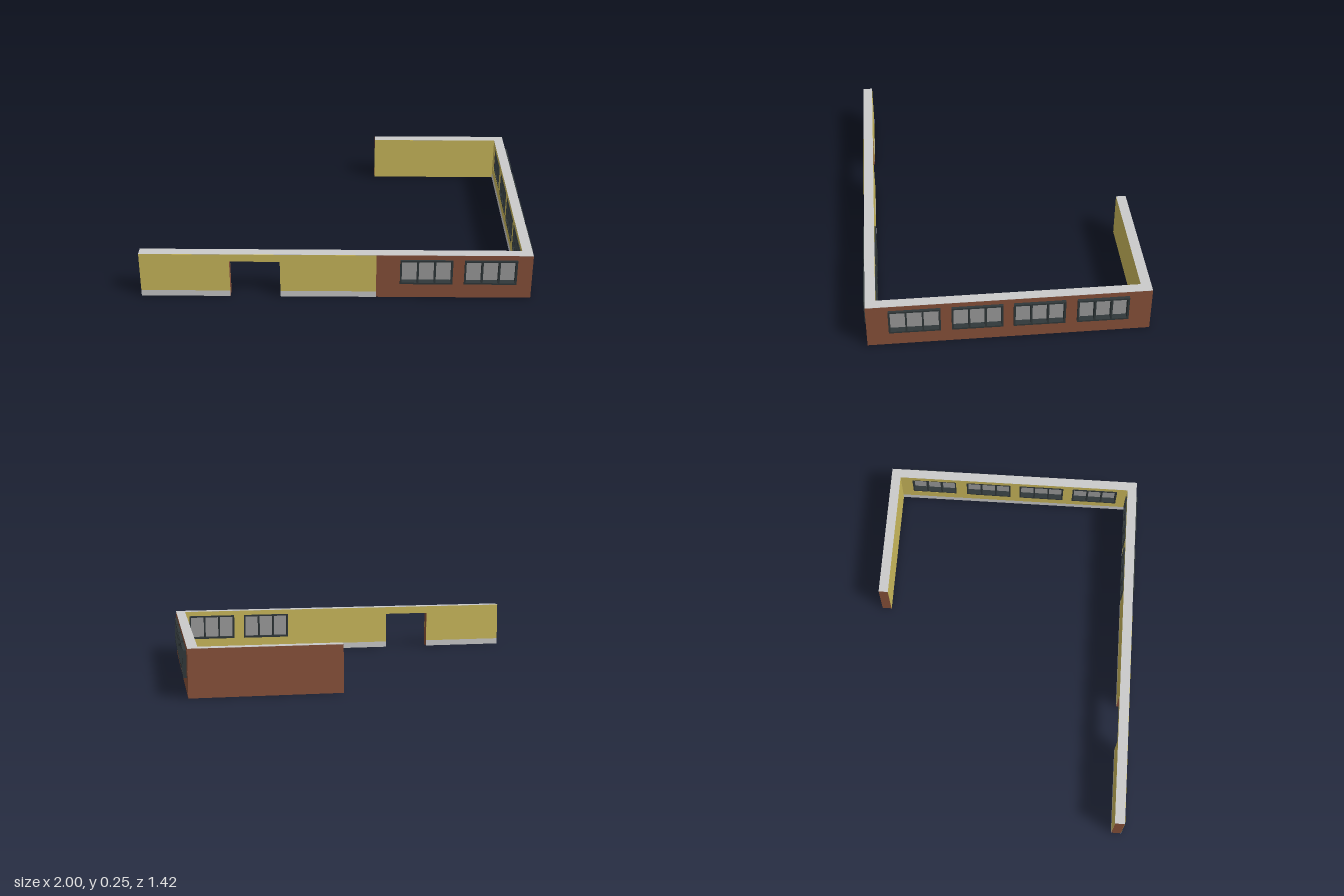
import * as THREE from 'three';

const mat = (name, color) => {
  const m = new THREE.MeshStandardMaterial({ color });
  m.name = name;
  return m;
};

const TOP = 0.246, BAND = 0.033, SKIN = 0.0012, THICK = 0.051;
const SILL = 0.082, HEAD = 0.22;              // window heights
const DOOR = [-0.544, -0.288, 0.205];         // left, right, top
const FRONT_WINDOWS = [[0.32, 0.587], [0.645, 0.912]];
const SIDE_WINDOWS = [[0.595, 0.338], [0.284, 0.03], [-0.022, -0.28], [-0.338, -0.596]];

// Rectangle with an optional doorway notch and rectangular holes [x0, x1, y0, y1]
function wallShape(x0, x1, y0, y1, door, holes = []) {
  const p = [[x0, y0]];
  if (door) p.push([door[0], y0], [door[0], door[2]], [door[1], door[2]], [door[1], y0]);
  p.push([x1, y0], [x1, y1], [x0, y1]);
  const shape = new THREE.Shape(p.map(([x, y]) => new THREE.Vector2(x, y)));
  for (const [a, b, c, d] of holes) {
    shape.holes.push(new THREE.Path([[a, c], [a, d], [b, d], [b, c]].map(([x, y]) => new THREE.Vector2(x, y))));
  }
  return shape;
}

export function createModel() {
  const brick = mat('brick', 0x88513a);
  const plaster = mat('yellow plaster', 0xcbb95c);
  const stone = mat('pale grey', 0xcacaca);
  const frame = mat('window frame', 0x30383a);
  const glass = mat('grey glass', 0x9c9c9c);

  const model = new THREE.Group();
  model.name = 'uShapedWalls';

  // Extrudes a wall-plane shape from z towards +z
  function slab(parent, name, shape, z, depth, material) {
    const mesh = new THREE.Mesh(new THREE.ExtrudeGeometry(shape, { depth, bevelEnabled: false }), material);
    mesh.name = name;
    mesh.position.z = z;
    parent.add(mesh);
    return mesh;
  }

  // Window: deep frame with three openings and a glass sheet in the middle
  function makeWindow(width) {
    const g = new THREE.Group();
    g.name = 'window';
    const depth = 0.068, bar = 0.009, w = width / 2;
    const pane = (width - 4 * bar) / 3;
    const holes = [0, 1, 2].map(i => {
      const a = -w + bar + i * (pane + bar);
      return [a, a + pane, SILL + bar, HEAD - bar];
    });
    slab(g, 'windowFrame', wallShape(-w, w, SILL, HEAD, null, holes), -depth / 2, depth, frame);
    slab(g, 'windowGlass', wallShape(-w + 0.004, w - 0.004, SILL + 0.004, HEAD - 0.004), -0.003, 0.006, glass);
    return g;
  }

  // Front wall with doorway and two windows
  const front = new THREE.Group();
  front.name = 'frontWall';
  front.position.z = 0.653;
  model.add(front);
  const frontHoles = FRONT_WINDOWS.map(([a, b]) => [a + 0.002, b - 0.002, SILL + 0.002, HEAD - 0.002]);
  slab(front, 'frontWallCore', wallShape(-1, 0.989, 0, TOP, DOOR, frontHoles), 0, THICK, brick);
  slab(front, 'outerPlaster', wallShape(-1, 0.2, BAND, TOP, DOOR), THICK, SKIN, plaster);
  slab(front, 'innerPlaster', wallShape(-1, 0.938, BAND, TOP, DOOR, frontHoles), -SKIN, SKIN, plaster);
  for (const [a, b, z] of [
    [-1, DOOR[0], THICK], [DOOR[1], 0.2, THICK],
    [-1, DOOR[0], -SKIN], [DOOR[1], 0.938, -SKIN],
  ]) slab(front, 'baseBand', wallShape(a, b, 0, BAND), z, SKIN, stone);
  for (const [a, b] of FRONT_WINDOWS) {
    const win = makeWindow(b - a);
    win.position.set((a + b) / 2, 0, THICK / 2);
    front.add(win);
  }

  // Side wall, very slightly skewed, with u running from front to back
  const side = new THREE.Group();
  side.name = 'sideWall';
  side.position.set(0.989, 0, 0.703);
  side.rotation.y = Math.PI / 2 + 0.005;
  model.add(side);
  const u = z => 0.703 - z;
  const sideHoles = SIDE_WINDOWS.map(([a, b]) => [u(a) + 0.002, u(b) - 0.002, SILL + 0.002, HEAD - 0.002]);
  slab(side, 'sideWallCore', wallShape(0.05, u(-0.662), 0, TOP, null, sideHoles), -THICK, THICK, brick);
  slab(side, 'innerPlaster', wallShape(0.05, u(-0.66), BAND, TOP, null, sideHoles), -THICK - SKIN, SKIN, plaster);
  slab(side, 'baseBand', wallShape(0.05, u(-0.66), 0, BAND), -THICK - SKIN, SKIN, stone);
  for (const [a, b] of SIDE_WINDOWS) {
    const win = makeWindow(a - b);
    win.position.set(0.966, 0, (a + b) / 2);
    win.rotation.y = Math.PI / 2;
    model.add(win);
  }

  // Short back wall, plastered on the inside only
  slab(model, 'backWall', wallShape(0.212, 0.982, 0, TOP), -0.711, THICK, brick);
  slab(model, 'backInnerPlaster', wallShape(0.212, 0.931, 0, TOP), -0.66, SKIN, plaster);

  // Pale capping over all three walls
  const plan = [
    [-1, 0.704], [0.989, 0.704], [0.982, -0.711], [0.212, -0.711],
    [0.212, -0.659], [0.93, -0.659], [0.937, 0.652], [-1, 0.652],
  ];
  const capShape = new THREE.Shape(plan.map(([x, z]) => new THREE.Vector2(x, -z)));
  const cap = slab(model, 'wallCapping', capShape, 0, 0.001, stone);
  cap.rotation.x = -Math.PI / 2;
  cap.position.y = TOP;

  return model;
}
